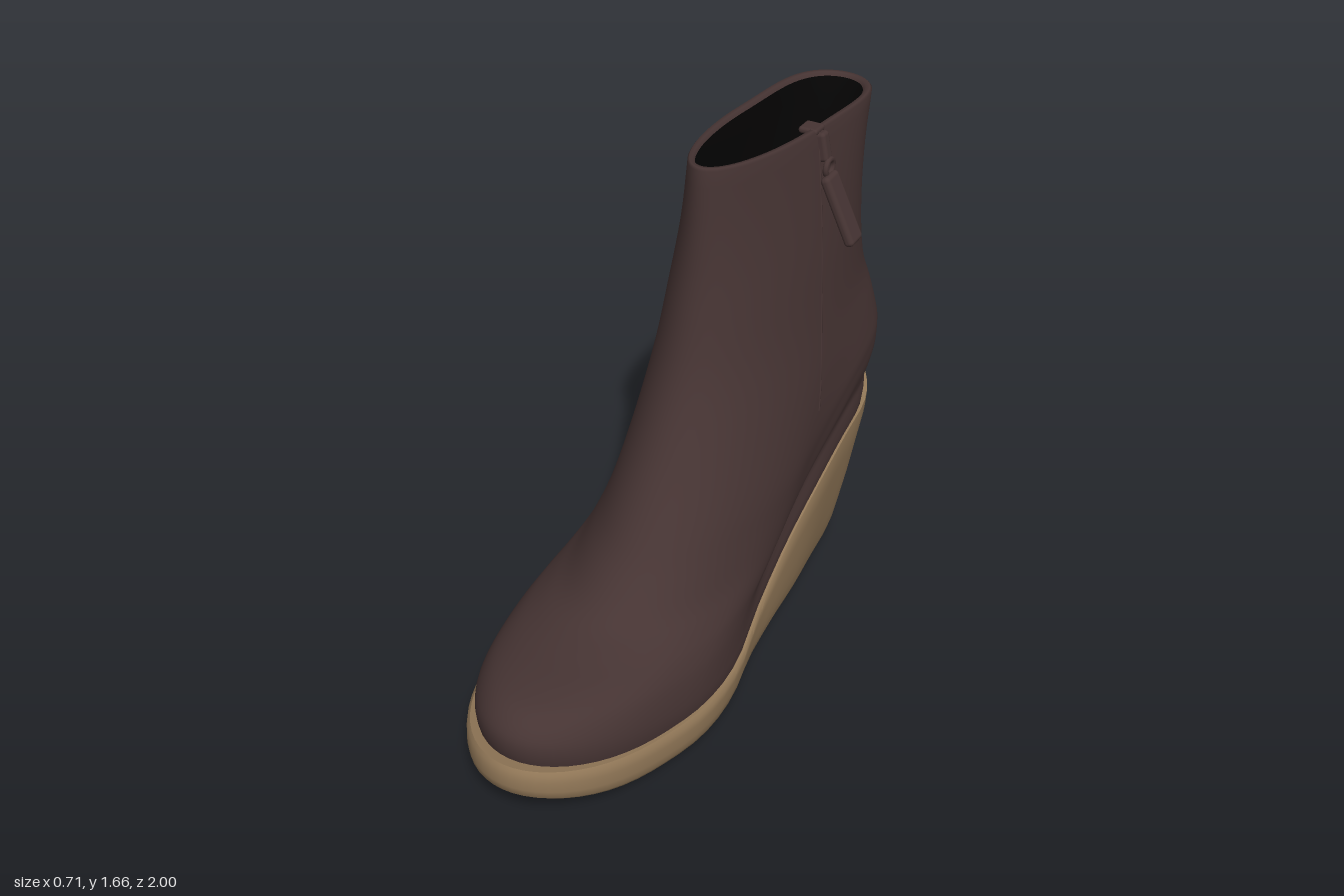
import * as THREE from 'three';
import { toCreasedNormals } from 'three/addons/utils/BufferGeometryUtils.js';
import { RoundedBoxGeometry } from 'three/addons/geometries/RoundedBoxGeometry.js';

const { lerp, clamp, smoothstep } = THREE.MathUtils;
const SIDES = 80;

// Catmull-Rom interpolation through evenly spaced values, at index u
function spline(values, u) {
  const n = values.length - 1;
  u = clamp(u, 0, n);
  const i = Math.min(Math.floor(u), n - 1), f = u - i;
  const p1 = values[i], p2 = values[i + 1];
  const p0 = i > 0 ? values[i - 1] : 2 * p1 - p2;
  const p3 = i + 2 <= n ? values[i + 2] : 2 * p2 - p1;
  const m1 = (p2 - p0) / 2, m2 = (p3 - p1) / 2;
  return p1 + f * (m1 + f * (3 * (p2 - p1) - 2 * m1 - m2 + f * (2 * (p1 - p2) + m1 + m2)));
}

// Profiles along the foot, s = 0 at the heel to 1 at the toe
const FOOT = [0.46, 0.415, 0.354, 0.325, 0.305, 0.308, 0.354, 0.386, 0.396, 0.41, 0.42];
const CENTRE = [0.035, 0.032, 0.027, 0.02, 0.012, 0.006, 0, 0, 0.006, 0.015, 0.024];
const SAG = [0, 0, -0.005, 0.025, 0.105, 0.2, 0.235, 0.205, 0.15, 0.08, 0];
const BOTTOM = [0.012, 0.012, 0.012, 0.022, 0.03, 0.025, 0.01, 0.02, 0.045, 0.08, 0.13];
const along = (table, s) => spline(table, s * 10);

// Upper rings: front z, front y, back z, back y, centre x, half width, foot-to-ankle blend, back squareness
const RINGS = [
  [0.94, 0.2, -0.94, 0.5, 0, 0.315, 0, 0],
  [0.96, 0.28, -0.965, 0.58, 0, 0.325, 0, 0],
  [0.95, 0.34, -0.975, 0.62, 0, 0.323, 0, 0],
  [0.895, 0.385, -0.98, 0.655, 0.003, 0.316, 0.05, 0],
  [0.8, 0.4, -0.985, 0.695, 0.008, 0.308, 0.15, 0.1],
  [0.66, 0.405, -0.985, 0.74, 0.018, 0.299, 0.3, 0.2],
  [0.53, 0.43, -0.985, 0.785, 0.03, 0.289, 0.47, 0.28],
  [0.42, 0.51, -0.98, 0.825, 0.042, 0.28, 0.6, 0.3],
  [0.33, 0.61, -0.975, 0.87, 0.053, 0.272, 0.75, 0.28],
  [0.2, 0.8, -0.955, 0.96, 0.058, 0.256, 0.9, 0.18],
  [0.09, 1.02, -0.925, 1.08, 0.06, 0.232, 1, 0.04],
  [0.03, 1.25, -0.915, 1.27, 0.065, 0.205, 1, 0],
  [0.005, 1.45, -0.925, 1.45, 0.07, 0.172, 1, 0.2],
  [0, 1.655, -0.95, 1.585, 0.072, 0.14, 1, 0.6],
];
const TOP = RINGS.length - 1;

function upperPoint(u, a, inset = 0, lift = 0) {
  const [zf, yf, zb, yb, cx, w, k, square] = RINGS[0].map((_, c) => spline(RINGS.map((r) => r[c]), u));
  const s = (1 + Math.cos(a)) / 2;
  const back = Math.max(0, 1 - 2 * s) ** 2;
  const shape = lerp(along(FOOT, s) / 0.34, 1 + 0.1 * back, k) + square * back;
  return new THREE.Vector3(
    cx + (1 - k) * along(CENTRE, s) + Math.max(w - inset, 0) * shape * Math.sin(a),
    lerp(yb, yf, s) - (1 - k) * along(SAG, s) + lift,
    lerp(zb + inset, zf - inset, s),
  );
}

// Sole outline at height t (0 = ground side, 1 = welt), tapering under the heel
function solePoint(t, scale, a) {
  const s = (1 + Math.cos(a)) / 2;
  const taper = 1 - 0.24 * (1 - t) * (1 - smoothstep(s, 0.12, 0.5));
  const top = lerp(0.58, 0.26, s) - along(SAG, s);
  const toe = 1 - 0.06 * (1 - Math.min(1, t * 2.5)) ** 2 - 0.012 * smoothstep(t, 0.85, 1);
  return new THREE.Vector3(
    along(CENTRE, s) + scale * taper * along(FOOT, s) * Math.sin(a),
    lerp(along(BOTTOM, s), top, t),
    lerp(lerp(-0.88, -1, t), toe, s),
  );
}

// Skin a stack of closed rings; each ring is a function of the angle
function loft(rings) {
  const pos = [], index = [];
  rings.forEach((ring, i) => {
    for (let j = 0; j < SIDES; j++) {
      pos.push(...ring((j / SIDES) * Math.PI * 2).toArray());
      if (i === rings.length - 1) continue;
      const k = (j + 1) % SIDES;
      const a = i * SIDES + j, b = i * SIDES + k, c = b + SIDES, d = a + SIDES;
      index.push(a, b, c, a, c, d);
    }
  });
  const geo = new THREE.BufferGeometry();
  geo.setAttribute('position', new THREE.Float32BufferAttribute(pos, 3));
  geo.setIndex(index);
  geo.computeVertexNormals();
  return geo;
}

export function createModel() {
  const leather = new THREE.MeshStandardMaterial({ color: 0x463433 });
  leather.name = 'brown leather';
  const rubber = new THREE.MeshStandardMaterial({ color: 0x927858 });
  rubber.name = 'tan rubber';
  const dark = new THREE.MeshStandardMaterial({ color: 0x050404 });
  dark.name = 'black lining';

  const boot = new THREE.Group();
  boot.name = 'ankleBoot';
  const add = (name, geo, mat, parent = boot) => {
    const mesh = new THREE.Mesh(geo, mat);
    mesh.name = name;
    parent.add(mesh);
    return mesh;
  };

  // Upper, with a rolled rim at the collar
  const skin = [];
  for (let u = 0; u <= TOP; u += 0.25) skin.push((a) => upperPoint(u, a));
  skin.push((a) => upperPoint(TOP, a, 0.006, 0.007));
  skin.push((a) => upperPoint(TOP, a, 0.018, 0.007));
  skin.push((a) => upperPoint(TOP, a, 0.025, -0.005));
  add('upper', loft(skin), leather);

  // Lining, running down inside the shaft to a closed insole
  const inside = [(a) => upperPoint(TOP, a, 0.025, -0.005)];
  for (let u = TOP - 0.25; u >= 8; u -= 0.25) inside.push((a) => upperPoint(u, a, 0.03));
  inside.push((a) => upperPoint(8, a, 1).setZ(upperPoint(8, a, 0.03).z));
  add('lining', loft(inside), dark);

  // Wedge sole
  const levels = [
    [0, 0], [0, 0.88], [0.06, 0.93], [0.15, 0.965], [0.3, 0.985], [0.5, 1], [0.75, 1], [0.92, 1], [1, 0.975], [1, 0],
  ];
  const sole = loft(levels.map(([t, scale]) => (a) => solePoint(t, scale, a)));
  add('wedgeSole', toCreasedNormals(sole, 0.75), rubber);

  // Tread bars under the heel and the forefoot
  const treads = new THREE.Group();
  treads.name = 'treads';
  boot.add(treads);
  const addTread = (z) => {
    const s = (z + 0.88) / 1.82, a = Math.acos(2 * s - 1);
    const right = solePoint(0, 0.82, a), left = solePoint(0, 0.82, -a);
    const slope = (along(BOTTOM, s + 0.02) - along(BOTTOM, s - 0.02)) / (0.04 * 1.82);
    const bar = add('treadBar', new RoundedBoxGeometry(right.x - left.x, 0.03, 0.045, 2, 0.008), rubber, treads);
    bar.position.set((right.x + left.x) / 2, Math.max(right.y + 0.006, 0.0155), z);
    bar.rotation.x = -Math.atan(slope);
  };
  for (let i = 0; i < 5; i++) addTread(-0.81 + i * 0.075);
  for (let i = 0; i < 13; i++) addTread(i * 0.071);

  // Zip seam down the left side of the shaft
  const seam = [];
  for (let u = TOP; u >= 8.5; u -= 0.5) {
    const front = upperPoint(u, 0).z, back = upperPoint(u, Math.PI).z;
    const z = lerp(-0.33, -0.45, (u - 8.5) / (TOP - 8.5));
    seam.push(upperPoint(u, Math.acos((2 * (z - back)) / (front - back) - 1)));
  }
  add('zipSeam', new THREE.TubeGeometry(new THREE.CatmullRomCurve3(seam), 40, 0.003, 6), leather);

  // Zip slider, link and hanging pull tab
  const zip = new THREE.Group();
  zip.name = 'zipPull';
  boot.add(zip);
  const slider = add('slider', new RoundedBoxGeometry(0.04, 0.09, 0.04, 3, 0.012), leather, zip);
  slider.position.set(0.222, 1.575, -0.46);
  slider.rotation.z = 0.2;
  const stop = add('zipStop', new RoundedBoxGeometry(0.06, 0.02, 0.06, 2, 0.009), leather, zip);
  stop.position.set(0.185, 1.622, -0.46);
  const link = add('link', new THREE.TorusGeometry(0.024, 0.009, 8, 20), leather, zip);
  link.position.set(0.247, 1.515, -0.46);
  link.rotation.y = Math.PI / 2;
  const tab = add('tab', new RoundedBoxGeometry(0.032, 0.225, 0.075, 3, 0.014), leather, zip);
  tab.position.set(0.296, 1.395, -0.455);
  tab.rotation.set(0.05, 0, 0.42);

  return boot;
}
